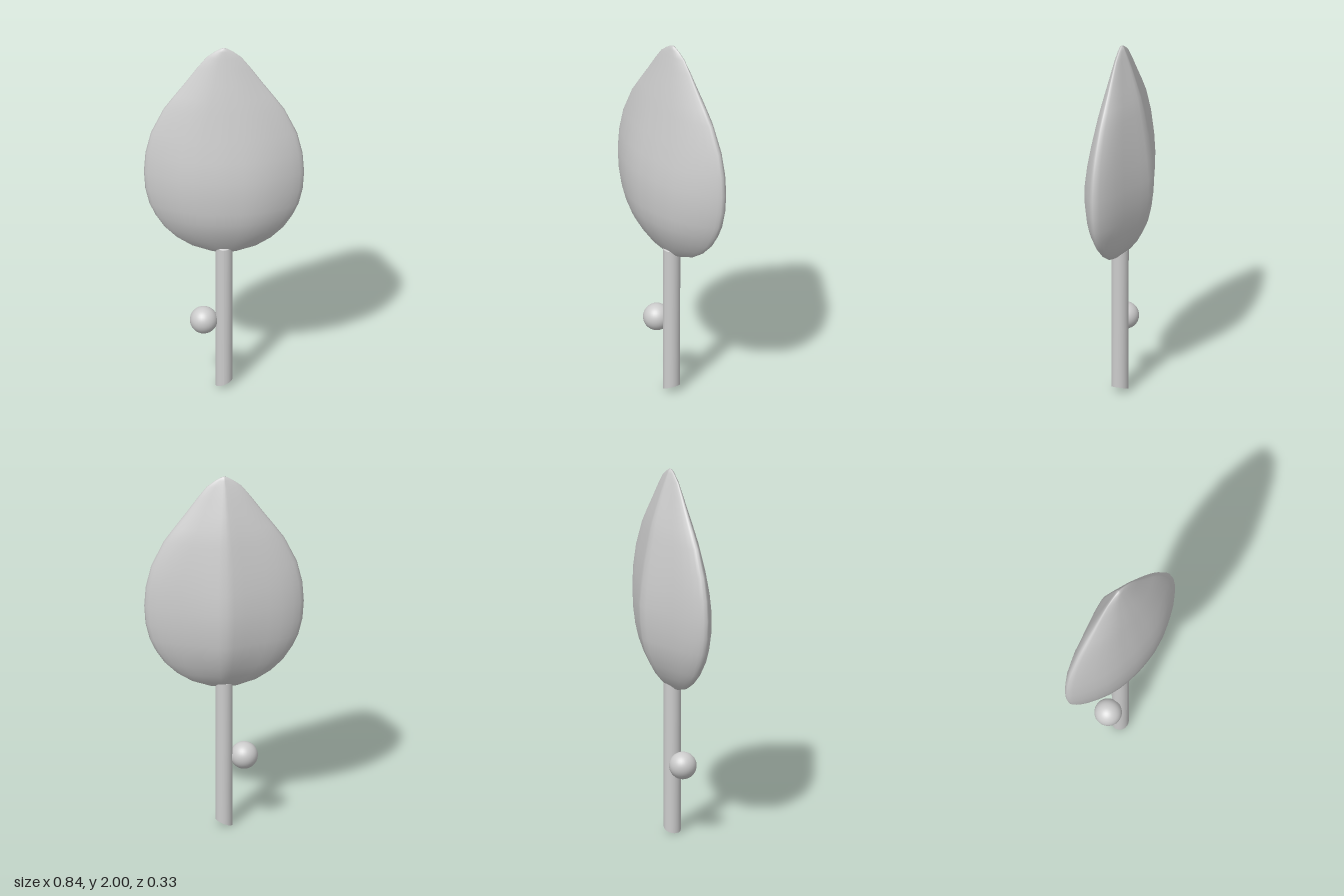
import * as THREE from 'three';

const material = new THREE.MeshStandardMaterial({ color: 0xcccccc });

function addMesh(group, name, geometry, x = 0, y = 0, z = 0) {
  const mesh = new THREE.Mesh(geometry, material);
  mesh.name = name;
  mesh.position.set(x, y, z);
  group.add(mesh);
}

// Blade: level cross-sections, rounded in front and ridged along the back
function bladeGeometry() {
  // y, half width, front z, back z
  const rows = [
    [0.79, 0, 0.02, 0.02], [0.797, 0.07, 0.035, 0.005], [0.83, 0.17, 0.062, -0.035],
    [0.88, 0.25, 0.093, -0.075], [0.94, 0.313, 0.125, -0.107], [1.01, 0.36, 0.15, -0.137],
    [1.08, 0.393, 0.16, -0.153], [1.17, 0.415, 0.167, -0.164], [1.27, 0.422, 0.165, -0.167],
    [1.38, 0.414, 0.15, -0.156], [1.5, 0.385, 0.127, -0.139], [1.64, 0.318, 0.1, -0.113],
    [1.72, 0.26, 0.084, -0.095], [1.8, 0.2, 0.066, -0.07], [1.88, 0.143, 0.048, -0.044],
    [1.945, 0.092, 0.034, -0.02], [1.98, 0.045, 0.025, -0.007], [1.995, 0.018, 0.02, 0], [2, 0, 0.01, 0.01],
  ];
  // share of the width, share of the front depth, share of the back depth
  const half = [
    [0, 1, 1], [0.1, 0.99, 0.94], [0.24, 0.96, 0.83], [0.38, 0.91, 0.72], [0.55, 0.78, 0.59],
    [0.71, 0.59, 0.47], [0.86, 0.36, 0.31], [0.95, 0.18, 0.17], [0.985, 0.09, 0.09], [1, 0, 0],
  ];
  const ring = [];
  const n = half.length - 1;
  for (let i = -n; i <= n; i++) ring.push([Math.sign(i) * half[Math.abs(i)][0], half[Math.abs(i)][1], 0]);
  for (let i = n - 1; i > -n; i--) ring.push([Math.sign(i) * half[Math.abs(i)][0], 0, half[Math.abs(i)][2]]);

  const positions = [], index = [], count = ring.length;
  rows.forEach(([y, width, front, back], r) => {
    const edge = 0.02 - 0.01 * Math.max(0, (y - 1.27) / 0.73);
    for (const [u, f, b] of ring) {
      positions.push(u * width, y, edge + f * (front - edge) + b * (back - edge));
    }
    if (r === 0) return;
    for (let j = 0; j < count; j++) {
      const a = (r - 1) * count + j, b = (r - 1) * count + (j + 1) % count;
      if (r > 1) index.push(a, b, b + count);
      if (r < rows.length - 1) index.push(a, b + count, a + count);
      if (r === 1) index.push(a, b + count, a + count);
    }
  });
  // the first pass of row 1 already closes the bottom point
  const geometry = new THREE.BufferGeometry();
  geometry.setAttribute('position', new THREE.Float32BufferAttribute(positions, 3));
  geometry.setIndex(index);
  geometry.computeVertexNormals();
  return geometry;
}

// Stem: cylinder whose lower end is cut on a slant
function stemGeometry() {
  const geometry = new THREE.CylinderGeometry(0.046, 0.045, 0.82, 32);
  geometry.translate(0, 0.41, 0);
  const p = geometry.attributes.position;
  for (let i = 0; i < p.count; i++) {
    if (p.getY(i) < 0.1) p.setY(i, 0.018 + 0.4 * p.getX(i));
  }
  geometry.computeVertexNormals();
  return geometry;
}

export function createModel() {
  const group = new THREE.Group();
  group.name = 'leafOnStem';
  addMesh(group, 'blade', bladeGeometry());
  addMesh(group, 'stem', stemGeometry(), 0, 0, 0.02);
  // Rounded top of the stem, sunk into the blade
  const cap = new THREE.SphereGeometry(0.046, 32, 8, 0, Math.PI * 2, 0, Math.PI / 2);
  cap.scale(1, 0.25, 1);
  addMesh(group, 'stemTop', cap, 0, 0.82, 0.02);
  // Small bud at the side of the stem
  addMesh(group, 'bud', new THREE.SphereGeometry(0.073, 32, 20), -0.107, 0.39, 0.03);
  return group;
}
